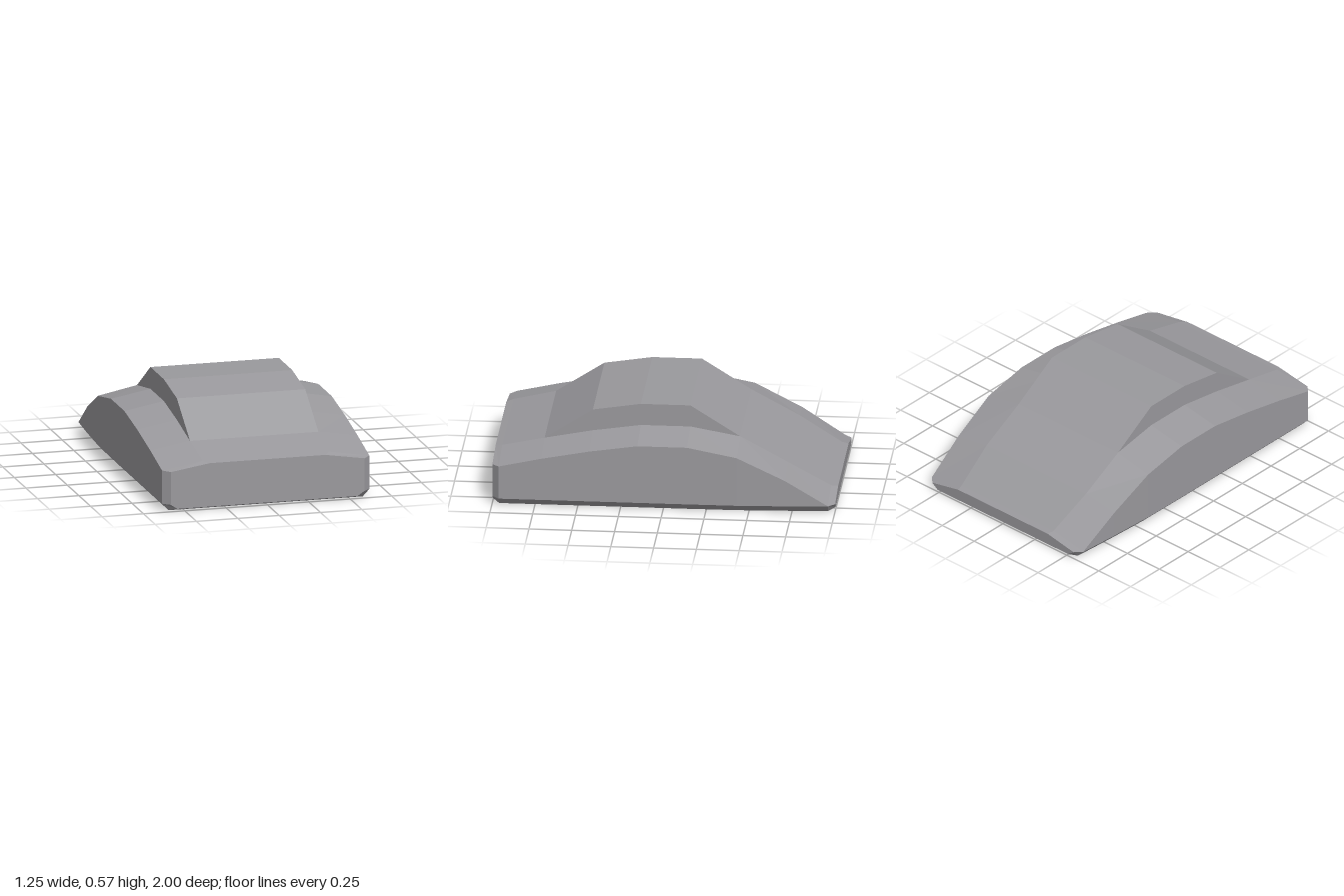
import * as THREE from 'three';

const material = new THREE.MeshStandardMaterial({ color: 0x9a999d, flatShading: true });

// Skins a row of equal-length rings (counter-clockwise from +z, ordered back to front)
function loft(rings) {
  const n = rings[0].length;
  const index = [];
  for (let k = 0; k < rings.length - 1; k++) {
    for (let j = 0; j < n; j++) {
      const a = k * n + j, b = k * n + (j + 1) % n;
      index.push(a, b, b + n, a, b + n, a + n);
    }
  }
  const last = (rings.length - 1) * n;
  for (let j = 1; j < n - 1; j++) {
    index.push(0, j + 1, j, last, last + j, last + j + 1);
  }
  const geo = new THREE.BufferGeometry();
  geo.setAttribute('position', new THREE.Float32BufferAttribute(rings.flat(2), 3));
  geo.setIndex(index);
  const flat = geo.toNonIndexed();
  flat.computeVertexNormals();
  return flat;
}

// Symmetric body section: half width, bevelled sill, shoulder height, flat deck
function section({ z, w, shoulder, deck, inner = 0.388, floor = 0 }) {
  const half = [[w - 0.04, floor, z], [w, 0.042, z], [w, shoulder, z], [inner, deck, z]];
  const mirrored = half.map(([x, y, zz]) => [-x, y, zz]).reverse();
  return [...half, ...mirrored];
}

export function createModel() {
  const model = new THREE.Group();

  // Wedge-tailed hull with bevelled ends
  const sections = [
    { z: -1, w: 0.55, shoulder: 0.044, deck: 0.083, inner: 0.35, floor: 0.012 },
    { z: -0.96, w: 0.592, shoulder: 0.044, deck: 0.088, inner: 0.36 },
    { z: -0.71, w: 0.61, shoulder: 0.2, deck: 0.235 },
    { z: -0.43, w: 0.625, shoulder: 0.338, deck: 0.386 },
    { z: -0.14, w: 0.627, shoulder: 0.394, deck: 0.437 },
    { z: 0.15, w: 0.627, shoulder: 0.394, deck: 0.437 },
    { z: 0.43, w: 0.627, shoulder: 0.352, deck: 0.395 },
    { z: 0.71, w: 0.627, shoulder: 0.298, deck: 0.34 },
    { z: 0.96, w: 0.627, shoulder: 0.242, deck: 0.284, inner: 0.38 },
    { z: 1, w: 0.585, shoulder: 0.239, deck: 0.276, inner: 0.35, floor: 0.015 },
  ];
  const body = new THREE.Mesh(loft(sections.map(section)), material);
  body.name = 'body';
  model.add(body);

  // Cabin: side profile (z, y) extruded across the width, its base sunk in the hull
  const profile = [[0.713, 0.339], [0.43, 0.524], [0.15, 0.568], [-0.14, 0.568], [-0.43, 0.386], [-0.3, 0.3], [0.6, 0.3]];
  const shape = new THREE.Shape(profile.map(([z, y]) => new THREE.Vector2(z, y)));
  const width = 0.776;
  const cabinGeo = new THREE.ExtrudeGeometry(shape, { depth: width, bevelEnabled: false });
  cabinGeo.translate(0, 0, -width / 2).rotateY(-Math.PI / 2);
  const cabin = new THREE.Mesh(cabinGeo, material);
  cabin.name = 'cabin';
  model.add(cabin);

  return model;
}
